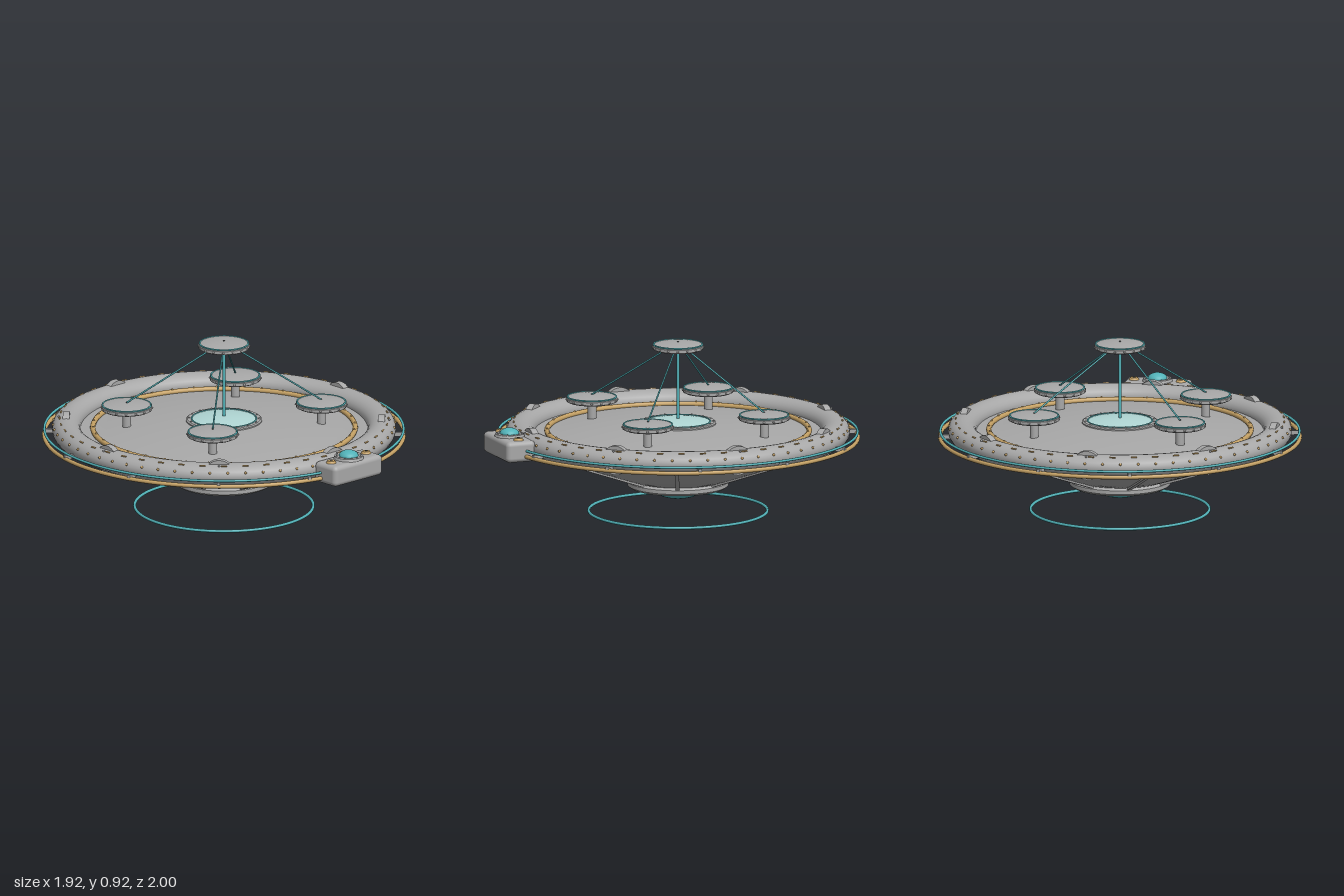
import * as THREE from 'three';
import { toCreasedNormals } from 'three/addons/utils/BufferGeometryUtils.js';
import { RoundedBoxGeometry } from 'three/addons/geometries/RoundedBoxGeometry.js';

const mat = (name, color) => {
  const m = new THREE.MeshStandardMaterial({ color });
  m.name = name;
  return m;
};

export function createModel() {
  const grey = mat('hull grey', 0xa8a8a8);
  const gold = mat('brass', 0xc6a265);
  const teal = mat('teal', 0x52b2b8);
  const pale = mat('pale glass', 0xb0d6d4);
  const dark = mat('dark metal', 0x383d3f);

  const model = new THREE.Group();
  model.name = 'saucer';
  const body = new THREE.Group();
  body.name = 'body';
  body.position.z = -0.042;
  model.add(body);

  const add = (parent, name, geo, material, x = 0, y = 0, z = 0) => {
    const m = new THREE.Mesh(geo, material);
    m.name = name;
    m.position.set(x, y, z);
    parent.add(m);
    return m;
  };
  const lathe = (pts, seg = 64) => toCreasedNormals(
    new THREE.LatheGeometry(pts.map(p => new THREE.Vector2(p[0], p[1])), seg), 0.5);
  const ring = (parent, name, r, tube, y, material, seg = 128) => {
    const m = add(parent, name, new THREE.TorusGeometry(r, tube, 10, seg), material, 0, y, 0);
    m.rotation.x = Math.PI / 2;
    return m;
  };
  // Repeats a part around the vertical axis; its local +z points outward
  const around = (parent, name, n, offset, r, y, geo, material, tilt = 0) => {
    for (let i = 0; i < n; i++) {
      const a = offset + i * Math.PI * 2 / n;
      const m = add(parent, name, geo, material, Math.sin(a) * r, y, Math.cos(a) * r);
      m.rotation.set(tilt, a, 0, 'YXZ');
    }
  };
  const rod = (parent, name, a, b, r, material) => {
    const d = b.clone().sub(a);
    const m = add(parent, name, new THREE.CylinderGeometry(r, r, d.length(), 10), material);
    m.position.copy(a).addScaledVector(d, 0.5);
    m.quaternion.setFromUnitVectors(new THREE.Vector3(0, 1, 0), d.normalize());
  };
  // Shallow dome profile points from the rim to the apex
  const dome = (r, y0, h, n = 10) => Array.from({ length: n + 1 }, (_, i) => {
    const t = 1 - i / n;
    return [r * t, y0 + h * (1 - t * t)];
  });

  // Hull underside and deck
  add(body, 'lowerHull', lathe([[0.2, 0.18], [0.26, 0.185], [0.55, 0.285], [0.84, 0.39]], 96), grey);
  add(body, 'deck', lathe([[0.8, 0.435], [0.69, 0.435], ...dome(0.69, 0.435, 0.05)], 96), grey);
  const rim = ring(body, 'rimTube', 0.83, 0.075, 0.438, grey);
  rim.geometry = new THREE.TorusGeometry(0.83, 0.075, 24, 128);
  rim.scale.z = 0.8;
  ring(body, 'deckTrim', 0.69, 0.014, 0.443, gold);
  around(body, 'deckTrimBead', 36, 0, 0.69, 0.456, new THREE.SphereGeometry(0.006, 8, 6), gold);

  // Hull ribs
  const ribTilt = -Math.atan2(0.205, 0.58);
  around(body, 'hullRib', 8, Math.PI / 8, 0.55, 0.284,
    new THREE.BoxGeometry(0.022, 0.016, 0.61), grey, ribTilt);

  // Outer rails with their struts
  ring(body, 'outerRail', 0.947, 0.011, 0.405, gold);
  ring(body, 'glowRail', 0.945, 0.007, 0.435, teal);
  around(body, 'railStrut', 12, Math.PI / 12, 0.915, 0.415,
    new THREE.BoxGeometry(0.018, 0.022, 0.08), grey);

  // Clamps, rivets and dashes on the rim
  const clamp = new THREE.CylinderGeometry(0.078, 0.078, 0.035, 28).rotateX(Math.PI / 2);
  around(body, 'rimClamp', 8, 0, 0.83, 0.44, clamp, grey);
  around(body, 'clampStud', 8, 0, 0.87, 0.494, new THREE.SphereGeometry(0.006, 8, 6), grey);
  around(body, 'rimDash', 48, 0.03, 0.865, 0.492, new THREE.BoxGeometry(0.032, 0.007, 0.007), gold, 0.5);
  around(body, 'rimRivet', 60, 0, 0.899, 0.463, new THREE.SphereGeometry(0.007, 8, 6), gold);

  // Underside emitter
  add(body, 'emitterCollar', lathe([[0.2, 0.15], [0.21, 0.14], [0.25, 0.14], [0.266, 0.152],
    [0.266, 0.172], [0.25, 0.185], [0.2, 0.185], [0.2, 0.15]]), grey);
  add(body, 'emitterPlate', new THREE.CylinderGeometry(0.205, 0.205, 0.02, 48), dark, 0, 0.16, 0);
  const lens = add(body, 'emitterLens',
    new THREE.SphereGeometry(0.145, 40, 12, 0, Math.PI * 2, Math.PI / 2, Math.PI / 2), teal, 0, 0.15, 0);
  lens.scale.y = 0.48;
  ring(body, 'hoverRing', 0.47, 0.008, 0.014, teal);

  // Central window
  add(body, 'windowFlange', lathe([[0.2, 0.465], [0.2, 0.487], [0.193, 0.492], [0.165, 0.492]]), grey);
  add(body, 'window', lathe(dome(0.172, 0.49, 0.017)), pale);
  ring(body, 'windowSeal', 0.17, 0.004, 0.492, teal, 64);
  around(body, 'windowRivet', 16, 0, 0.185, 0.493, new THREE.SphereGeometry(0.005, 8, 6), grey);

  // Dish pods and the raised mast pod
  const podShape = lathe([[0, 0], [0.122, 0], [0.134, 0.006], [0.134, 0.022], [0.125, 0.03],
    ...dome(0.125, 0.03, 0.011)], 48);
  const addPod = (name, x, y, z) => {
    const g = new THREE.Group();
    g.name = name;
    g.position.set(x, y, z);
    body.add(g);
    add(g, 'podShell', podShape, grey);
    ring(g, 'podTrim', 0.128, 0.0045, 0.029, teal, 48);
    around(g, 'podRivet', 16, 0, 0.134, 0.014, new THREE.SphereGeometry(0.006, 8, 6), grey);
    add(g, 'podCap', new THREE.SphereGeometry(0.005, 8, 6), dark, 0, 0.041, 0);
    return g;
  };
  addPod('mastPod', 0, 0.876, 0);
  rod(body, 'mast', new THREE.Vector3(0, 0.49, 0), new THREE.Vector3(0, 0.88, 0), 0.009, teal);
  for (const sx of [-1, 1]) for (const sz of [-1, 1]) {
    const pod = addPod('dishPod', sx * 0.392, 0.546, sz * 0.33);
    add(pod, 'podStalk', new THREE.CylinderGeometry(0.023, 0.023, 0.12, 20), grey, 0, -0.055, 0);
    rod(body, 'stayWire', new THREE.Vector3(sx * 0.392, 0.587, sz * 0.33),
      new THREE.Vector3(sx * 0.035, 0.885, sz * 0.03), 0.0045, teal);
  }

  // Front cabin with its dome and knobs
  const cabin = new THREE.Group();
  cabin.name = 'frontCabin';
  cabin.position.z = 0.915;
  model.add(cabin);
  add(cabin, 'cabinShell', new RoundedBoxGeometry(0.35, 0.112, 0.165, 4, 0.025), grey, 0, 0.431, 0);
  add(cabin, 'domeBase', new THREE.CylinderGeometry(0.075, 0.08, 0.014, 32), grey, 0, 0.493, 0);
  around(cabin, 'domeRivet', 12, 0, 0.065, 0.501, new THREE.SphereGeometry(0.005, 8, 6), grey);
  const cap = add(cabin, 'cabinDome',
    new THREE.SphereGeometry(0.052, 32, 10, 0, Math.PI * 2, 0, Math.PI / 2), teal, 0, 0.498, 0);
  cap.scale.y = 0.62;
  for (const sx of [-1, 1]) {
    add(cabin, 'knob', new THREE.CylinderGeometry(0.02, 0.028, 0.014, 20), gold, sx * 0.126, 0.492, 0);
    add(cabin, 'knobTip', new THREE.SphereGeometry(0.007, 8, 6), dark, sx * 0.126, 0.498, 0);
  }
  return model;
}
